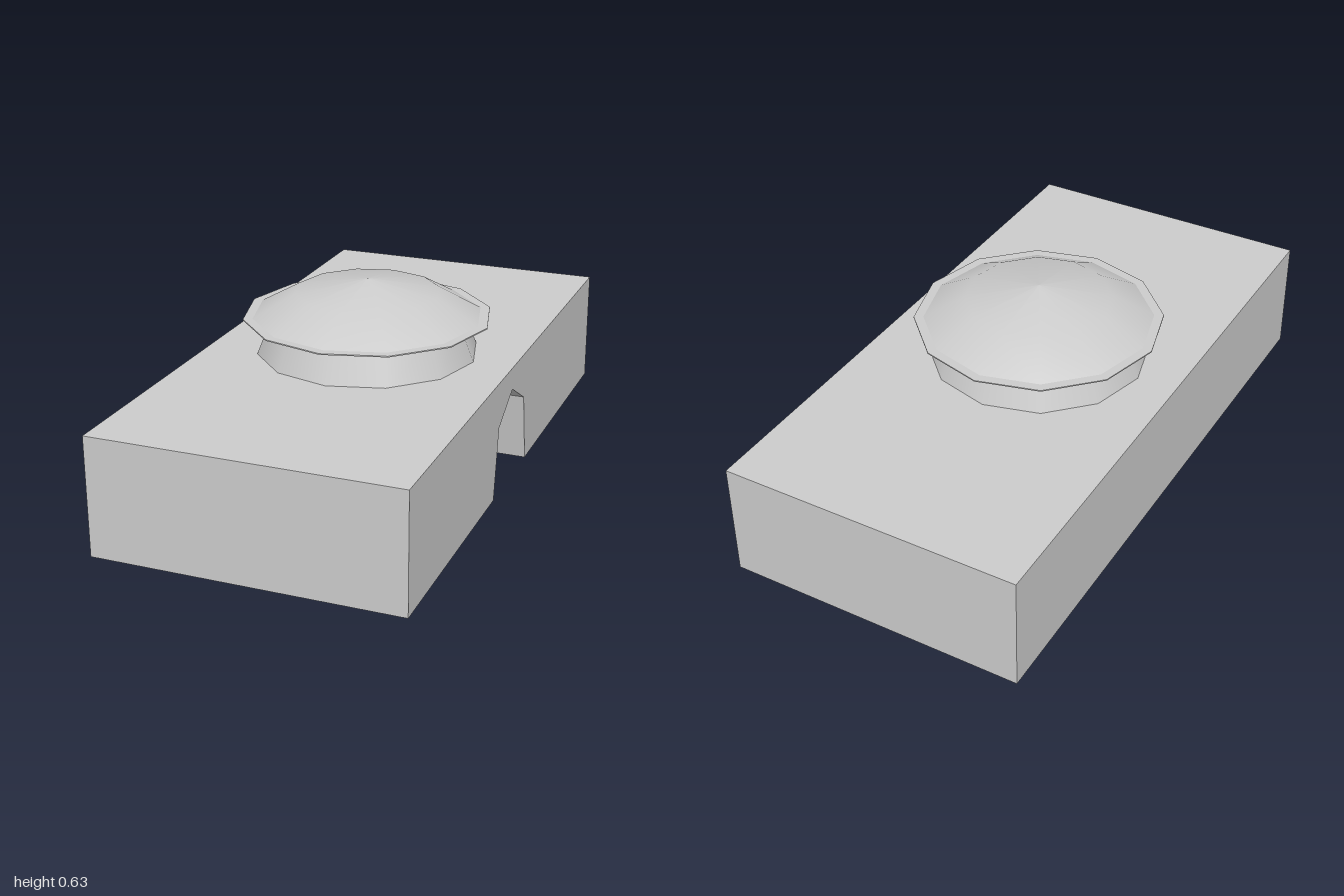
import * as THREE from 'three';

const C = 0.022;           // z of the round hut's axis
const H = 0.39;            // block height
const R = 0.36;            // inner room radius
const SIDES = 12;

const flat = new THREE.MeshStandardMaterial({ color: 0xcccccc, flatShading: true, side: THREE.DoubleSide });
const smooth = new THREE.MeshStandardMaterial({ color: 0xcccccc, side: THREE.DoubleSide });

// Doorway outline as [z offset, y]
const DOOR = [[-R / 2, 0], [-0.14, 0.235], [0, 0.315], [0.14, 0.235], [R / 2, 0]];

// Strip of quads between two equally long rows of points
function strip(a, b) {
  const pos = [];
  for (let i = 0; i < a.length - 1; i++) {
    pos.push(...a[i], ...b[i], ...b[i + 1], ...a[i], ...b[i + 1], ...a[i + 1]);
  }
  const g = new THREE.BufferGeometry();
  g.setAttribute('position', new THREE.Float32BufferAttribute(pos, 3));
  g.computeVertexNormals();
  return g;
}

const polygon = (pts) => new THREE.ShapeGeometry(new THREE.Shape(pts.map(([x, y]) => new THREE.Vector2(x, y))));

export function createModel() {
  const model = new THREE.Group();
  const add = (name, geometry, material, y = 0, z = 0) => {
    const mesh = new THREE.Mesh(geometry, material);
    mesh.name = name;
    mesh.position.set(0, y, z);
    model.add(mesh);
    return mesh;
  };

  // Plain faces of the block
  add('blockTop', new THREE.PlaneGeometry(1, 2).rotateX(-Math.PI / 2), flat, H);
  add('blockFront', new THREE.PlaneGeometry(1, H), flat, H / 2, 1);
  add('blockBack', new THREE.PlaneGeometry(1, H).rotateY(Math.PI), flat, H / 2, -1);
  add('blockRightSide', new THREE.PlaneGeometry(2, H).rotateY(-Math.PI / 2), flat, H / 2).position.x = -0.5;

  // Side face with the doorway cut out
  const doorEdge = DOOR.map(([z, y]) => [z - C, y]);
  add('blockDoorSide', polygon([[-1, 0], ...doorEdge, [1, 0], [1, H], [-1, H]]).rotateY(Math.PI / 2), flat)
    .position.x = 0.5;

  // Underside with the room and passage cut out
  const rim = [];
  for (let k = 1; k < SIDES; k++) {
    const a = -k * 2 * Math.PI / SIDES;
    rim.push([R * Math.cos(a), C + R * Math.sin(a)]);
  }
  add('blockUnderside', polygon([
    [-0.5, -1], [0.5, -1], [0.5, C - R / 2], ...rim, [0.5, C + R / 2], [0.5, 1], [-0.5, 1],
  ]).rotateX(Math.PI / 2), flat);

  // Passage from the side into the room, and the wall above its inner end
  const wallX = (z) => R - Math.abs(z) * Math.tan(Math.PI / SIDES);
  const outer = DOOR.map(([z, y]) => [0.5, y, z]);
  const inner = DOOR.map(([z, y]) => [wallX(z), y, z]);
  const above = DOOR.map(([z]) => [wallX(z), H, z]);
  add('passage', strip(outer, inner), flat, 0, C);
  add('passageLintel', strip(above, inner), flat, 0, C);

  // Room wall, open at the passage
  add('roomWall', new THREE.CylinderGeometry(R, R, H, SIDES - 2, 1, true, Math.PI * 2 / 3, Math.PI * 5 / 3),
    smooth, H / 2, C);

  // Tapered wall above the block
  add('upperWall', new THREE.CylinderGeometry(0.318, 0.366, 0.12, SIDES, 1, true), smooth, H + 0.06, C);

  // Thin eave, shallow roof dome and the matching dome of the ceiling
  add('eave', new THREE.CylinderGeometry(0.41, 0.41, 0.004, SIDES), flat, 0.51, C);
  const dome = [[0.38, 0], [0.24, 0.079], [0, 0.121]].map(([r, y]) => new THREE.Vector2(r, y));
  add('roof', new THREE.LatheGeometry(dome, SIDES), smooth, 0.511, C);
  const bowl = [[0, 0.16], [0.24, 0.2], [0.36, 0.27]].map(([r, y]) => new THREE.Vector2(r, y));
  add('ceiling', new THREE.LatheGeometry(bowl, SIDES), smooth, 0, C);

  return model;
}
